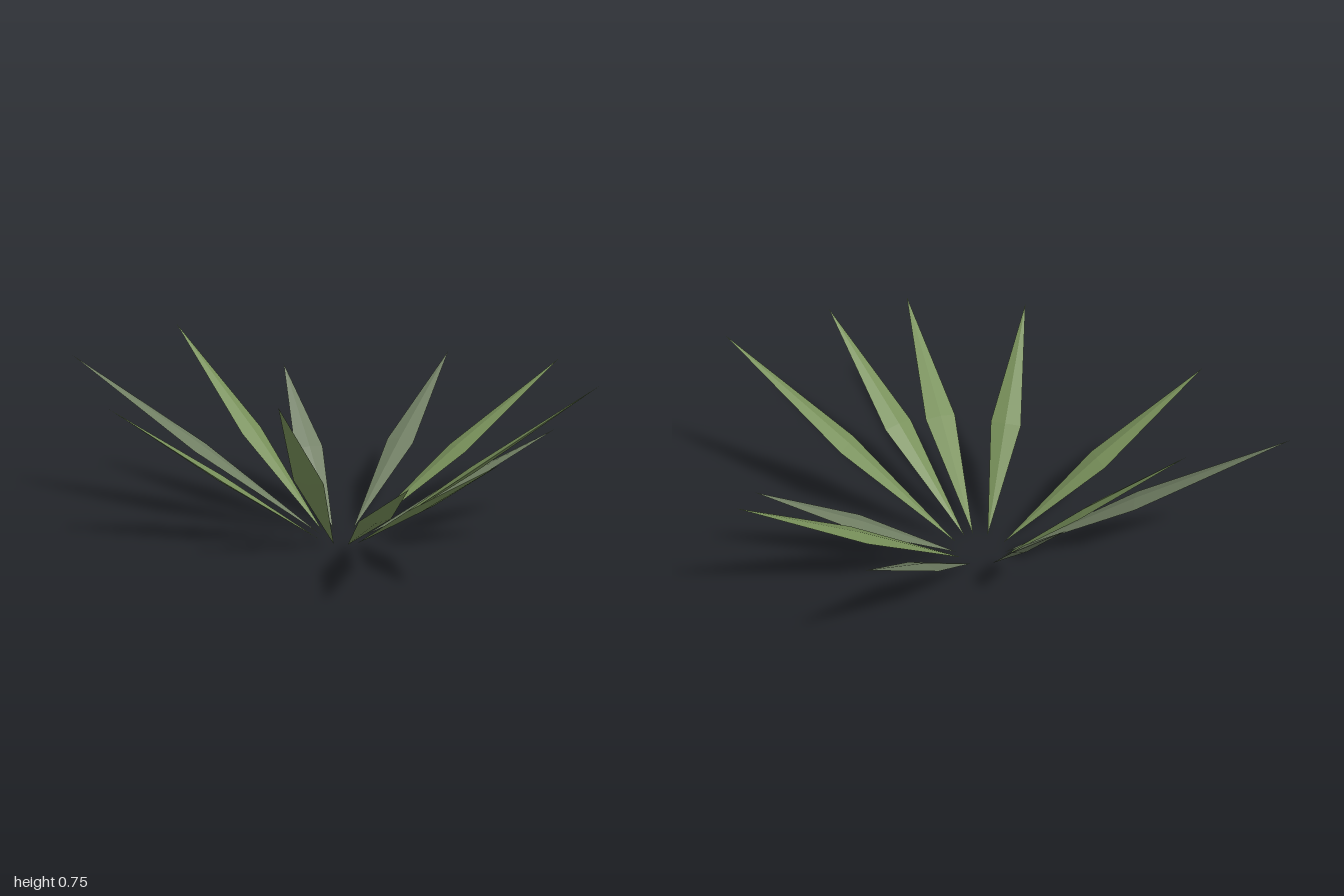
import * as THREE from 'three';

const WIDTH = 0.122, THICKNESS = 0.026, WIDEST = 0.48;

// Each leaf: base x, z, then tip x, y, z, then whether it is the greyer tone
const LEAVES = [
  [0.10, -0.24, 0.60, 0.56, -0.87, true],
  [0.13, -0.195, 0.99, 0.61, -0.50, false],
  [0.14, -0.16, 0.90, 0.415, -0.16, true],
  [0.13, -0.10, 0.92, 0.755, 0.40, false],
  [0.09, -0.07, 0.475, 0.595, 0.775, false],
  [0.055, -0.065, 0.135, 0.55, 0.87, false],
  [0.0, -0.08, -0.265, 0.725, 0.43, false],
  [-0.05, -0.14, -0.865, 0.615, -0.005, false],
  [-0.04, -0.20, -1.0, 0.67, -0.605, true],
  [-0.025, -0.225, -0.57, 0.755, -0.73, false],
  [0.02, -0.255, -0.12, 0.55, -0.795, true],
];

// Slim ridged diamond blade running from base to tip
function leafGeometry(base, tip) {
  const along = tip.clone().sub(base);
  const length = along.length();
  along.normalize();
  const side = new THREE.Vector3().crossVectors(along, new THREE.Vector3(0, 1, 0)).normalize();
  const face = new THREE.Vector3().crossVectors(side, along);

  const geometry = new THREE.OctahedronGeometry(1, 0);
  const pos = geometry.attributes.position;
  for (let i = 0; i < pos.count; i++) {
    const y = pos.getY(i);
    const t = y > 0.5 ? 1 : y < -0.5 ? 0 : WIDEST;
    pos.setXYZ(i, pos.getX(i) * WIDTH / 2, t * length, pos.getZ(i) * THICKNESS / 2);
  }
  geometry.applyMatrix4(new THREE.Matrix4().makeBasis(side, along, face).setPosition(base));
  geometry.computeVertexNormals();
  return geometry;
}

export function createModel() {
  const green = new THREE.MeshStandardMaterial({ color: 0x78905a });
  green.name = 'leafGreen';
  const grey = new THREE.MeshStandardMaterial({ color: 0x6f7d62 });
  grey.name = 'greyGreen';

  const plant = new THREE.Group();
  plant.name = 'plant';
  LEAVES.forEach(([bx, bz, tx, ty, tz, isGrey], i) => {
    const geometry = leafGeometry(new THREE.Vector3(bx, 0, bz), new THREE.Vector3(tx, ty, tz));
    const leaf = new THREE.Mesh(geometry, isGrey ? grey : green);
    leaf.name = `leaf${i + 1}`;
    plant.add(leaf);
  });
  return plant;
}
